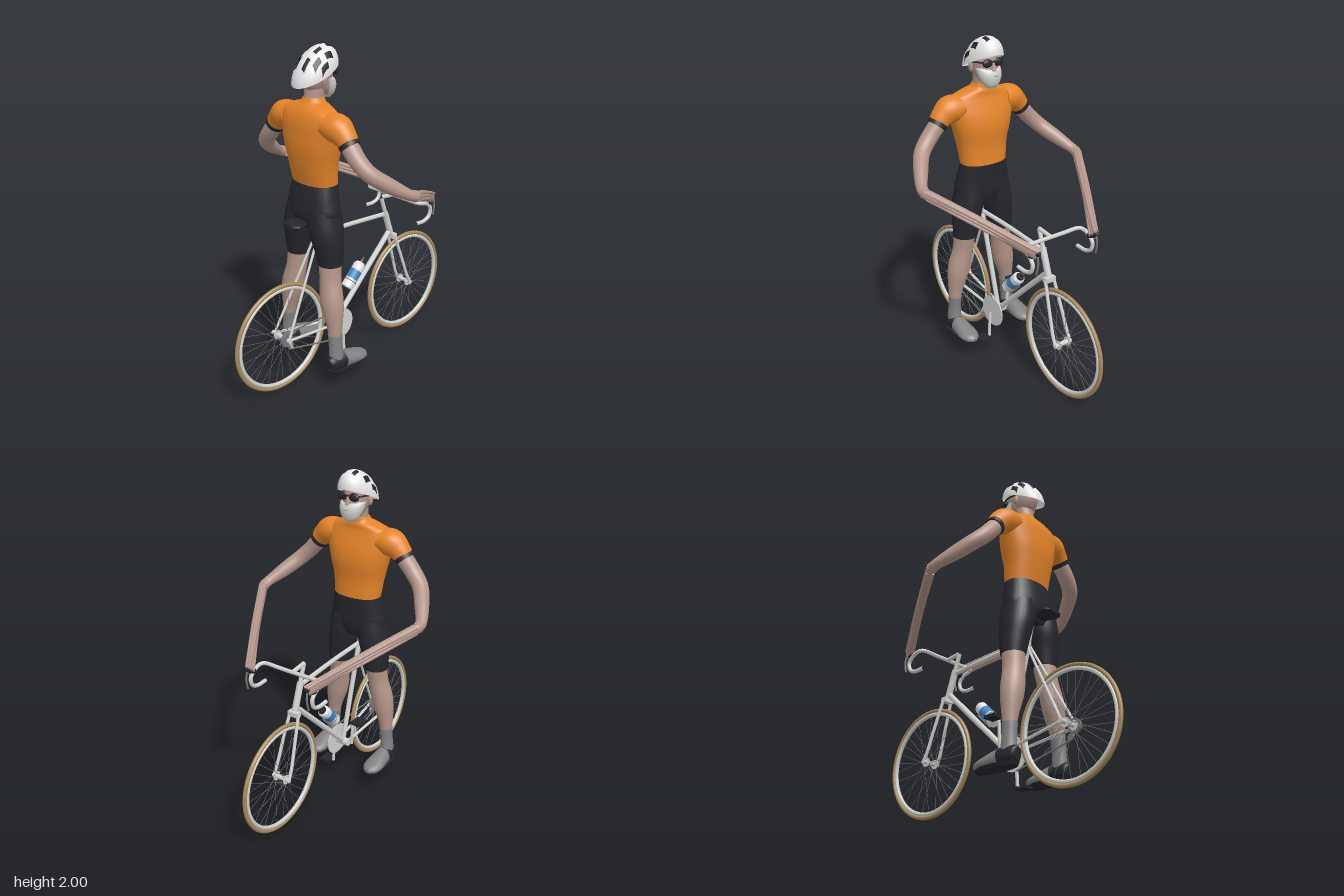
import * as THREE from 'three';

const mat = (name, color, side = THREE.FrontSide) => {
  const m = new THREE.MeshStandardMaterial({ color, side });
  m.name = name;
  return m;
};
const V = (x, y, z) => new THREE.Vector3(x, y, z);

export function createModel() {
  const model = new THREE.Group();
  model.name = 'cyclistWithBicycle';
  const orange = mat('orange jersey', 0xe58429), skin = mat('skin', 0xb4958a);
  const black = mat('black cloth', 0x26262d, THREE.DoubleSide), grey = mat('grey', 0x828081);
  const silver = mat('silver paint', 0xd2d2d0), white = mat('white shell', 0xe8e8e8, THREE.DoubleSide);
  const tan = mat('tan tyre', 0xa98b5c), blue = mat('blue label', 0x3f86c4), steel = mat('dark steel', 0x77777a);

  const add = (name, geo, m, x = 0, y = 0, z = 0, parent = model) => {
    const mesh = new THREE.Mesh(geo, m);
    mesh.name = name;
    mesh.position.set(x, y, z);
    parent.add(mesh);
    return mesh;
  };
  const ball = (name, m, x, y, z, rx, ry, rz) =>
    add(name, new THREE.SphereGeometry(1, 24, 16), m, x, y, z).scale.set(rx, ry, rz);
  const tube = (name, pts, r, m, parent = model, sides = 10) => {
    const c = new THREE.CatmullRomCurve3(pts.map(p => V(...p)));
    return add(name, new THREE.TubeGeometry(c, pts.length > 2 ? pts.length * 6 : 1, r, sides), m, 0, 0, 0, parent);
  };
  // Disc or drum whose axis runs across the bicycle
  const drum = (name, r, w, m, x, y, z, parent = model) =>
    add(name, new THREE.CylinderGeometry(r, r, w, 32).rotateX(Math.PI / 2), m, x, y, z, parent);

  // Smooth closed body through elliptical sections [x, y, z, ra, rb];
  // flat keeps the sections level, otherwise they stand square to the path
  const loft = (name, rows, m, flat = false, power = 1, n = 28) => {
    const path = new THREE.CatmullRomCurve3(rows.map(r => V(r[0], r[1], r[2])), false, 'catmullrom');
    const radii = new THREE.CatmullRomCurve3(rows.map(r => V(r[3], r[4], 0)), false, 'catmullrom');
    const steps = (rows.length - 1) * 5, pos = [], idx = [], rings = [[0, 0]];
    for (let i = 0; i <= steps; i++) rings.push([i / steps, 1]);
    rings.splice(1, 0, [0, 1]);
    rings.push([1, 1], [1, 0]);
    const bend = v => Math.sign(v) * Math.abs(v) ** power;
    rings.forEach(([t, k], i) => {
      const c = path.getPoint(t), r = radii.getPoint(t);
      const T = flat ? V(0, Math.sign(rows.at(-1)[1] - rows[0][1]), 0) : path.getTangent(t);
      const A = flat ? V(1, 0, 0) : V(0, 1, 0).addScaledVector(T, -T.y).normalize();
      const B = T.clone().cross(A);
      for (let j = 0; j < n; j++) {
        const a = j / n * Math.PI * 2;
        const p = c.clone().addScaledVector(A, bend(Math.cos(a)) * r.x * k).addScaledVector(B, bend(Math.sin(a)) * r.y * k);
        pos.push(p.x, p.y, p.z);
        if (i < rings.length - 1) {
          const p0 = i * n + j, p1 = i * n + (j + 1) % n;
          idx.push(p0, p1, p0 + n, p1, p1 + n, p0 + n);
        }
      }
    });
    const g = new THREE.BufferGeometry();
    g.setAttribute('position', new THREE.Float32BufferAttribute(pos, 3));
    g.setIndex(idx);
    g.computeVertexNormals();
    return add(name, g, m);
  };

  // Wheels
  const Y = 0.34, REAR = -0.53, FRONT = 0.525;
  for (const [name, x] of [['rearWheel', REAR], ['frontWheel', FRONT]]) {
    const w = new THREE.Group();
    w.name = name;
    w.position.set(x, Y, 0);
    model.add(w);
    add('tyre', new THREE.TorusGeometry(0.325, 0.0125, 10, 72), tan, 0, 0, 0, w);
    add('rim', new THREE.TorusGeometry(0.304, 0.012, 8, 72), silver, 0, 0, 0, w);
    drum('hub', 0.014, 0.12, silver, 0, 0, 0, w);
    for (const s of [1, -1]) drum('hubFlange', 0.028, 0.005, silver, 0, 0, 0.035 * s, w);
    for (let i = 0; i < 32; i++) {
      const a = i / 32 * Math.PI * 2, b = a + (i % 4 < 2 ? 0.5 : -0.5), z = i % 2 ? 0.035 : -0.035;
      tube('spoke', [[0.025 * Math.cos(b), 0.025 * Math.sin(b), z], [0.3 * Math.cos(a), 0.3 * Math.sin(a), 0]], 0.0015, steel, w, 4);
    }
  }

  // Frame
  const BB = [-0.1, 0.275, 0];
  tube('seatTube', [BB, [-0.265, 0.89, 0]], 0.015, silver);
  tube('seatPost', [[-0.265, 0.89, 0], [-0.295, 1.01, 0]], 0.012, silver);
  tube('topTube', [[-0.262, 0.9, 0], [0, 0.89, 0], [0.335, 0.865, 0]], 0.014, silver);
  tube('downTube', [BB, [0.375, 0.74, 0]], 0.017, silver);
  tube('headTube', [[0.328, 0.885, 0], [0.385, 0.72, 0]], 0.02, silver);
  tube('steerer', [[0.295, 0.985, 0], [0.335, 0.87, 0]], 0.013, silver);
  tube('stem', [[0.293, 0.988, 0], [0.4, 0.975, 0]], 0.013, silver);
  drum('bottomBracket', 0.024, 0.09, silver, ...BB);
  add('forkCrown', new THREE.BoxGeometry(0.035, 0.03, 0.07), silver, 0.392, 0.705, 0);
  for (const s of [1, -1]) {
    tube('forkBlade', [[0.392, 0.71, 0.03 * s], [0.46, 0.51, 0.045 * s], [0.497, 0.4, 0.052 * s], [FRONT, Y, 0.055 * s]], 0.01, silver);
    tube('seatStay', [[-0.26, 0.87, 0.015 * s], [REAR, Y, 0.065 * s]], 0.008, silver);
    tube('chainStay', [[-0.1, 0.275, 0.03 * s], [REAR, Y, 0.065 * s]], 0.009, silver);
    drum('axleNut', 0.014, 0.02, silver, REAR, Y, 0.07 * s);
    // Cranks and pedals
    const end = 0.275 - 0.175 * s;
    tube('crank', [[-0.1, 0.275, 0.065 * s], [-0.1, end, 0.075 * s]], 0.01, silver);
    tube('pedalAxle', [[-0.1, end, 0.07 * s], [-0.1, end, 0.14 * s]], 0.006, steel);
    add('pedal', new THREE.BoxGeometry(0.08, 0.018, 0.07), black, -0.1, end, 0.118 * s);
    // Drop handlebar, brake hood and lever
    tube('handlebar', [[0.4, 0.975, 0], [0.4, 0.975, 0.1 * s], [0.402, 0.975, 0.2 * s], [0.42, 0.972, 0.217 * s],
      [0.475, 0.955, 0.217 * s], [0.508, 0.915, 0.217 * s], [0.495, 0.868, 0.217 * s], [0.45, 0.848, 0.217 * s], [0.38, 0.85, 0.217 * s]], 0.012, silver);
    loft('brakeHood', [[0.48, 0.955, 0.215 * s, 0.016, 0.015], [0.52, 0.975, 0.21 * s, 0.018, 0.016], [0.548, 1, 0.207 * s, 0.014, 0.012]], black);
    tube('brakeLever', [[0.54, 0.985, 0.21 * s], [0.55, 0.93, 0.213 * s], [0.538, 0.865, 0.215 * s]], 0.006, steel);
  }
  loft('saddle', [[-0.462, 1.02, 0, 0.01, 0.045], [-0.43, 1.02, 0, 0.02, 0.072], [-0.36, 1.018, 0, 0.018, 0.05], [-0.28, 1.015, 0, 0.014, 0.025], [-0.19, 1.01, 0, 0.01, 0.015]], black);

  // Drivetrain
  drum('chainring', 0.1, 0.007, silver, -0.1, 0.275, 0.045);
  drum('sprockets', 0.042, 0.02, steel, REAR, Y, 0.046);
  drum('derailleurPulley', 0.02, 0.006, steel, -0.5, 0.285, 0.045);
  tube('derailleurArm', [[REAR, Y, 0.062], [-0.5, 0.28, 0.055]], 0.007, silver);
  tube('upperChain', [[REAR, 0.381, 0.045], [-0.1, 0.376, 0.045]], 0.005, steel, model, 6);
  tube('lowerChain', [[-0.5, 0.268, 0.045], [-0.12, 0.177, 0.045]], 0.005, steel, model, 6);

  // Bottle and cage, tilted along the down tube
  const bottle = new THREE.Group();
  bottle.name = 'bottle';
  bottle.position.set(0.07, 0.55, 0);
  bottle.rotation.z = -Math.PI / 4;
  model.add(bottle);
  const can = (name, r1, r2, y0, y1, m) =>
    add(name, new THREE.CylinderGeometry(r2, r1, y1 - y0, 28), m, 0, (y0 + y1) / 2, 0, bottle);
  can('bottleBase', 0.037, 0.037, -0.105, -0.045, white);
  can('bottleBand', 0.0375, 0.0375, -0.045, 0.015, blue);
  can('bottleTop', 0.037, 0.037, 0.015, 0.055, white);
  can('bottleShoulder', 0.037, 0.025, 0.055, 0.072, white);
  can('bottleCap', 0.025, 0.021, 0.072, 0.09, black);
  can('bottleSpout', 0.012, 0.01, 0.09, 0.11, black);
  add('cageRing', new THREE.TorusGeometry(0.039, 0.003, 6, 28).rotateX(Math.PI / 2), steel, 0, -0.06, 0, bottle);
  tube('cageSpine', [[0.045, -0.1, 0], [0.045, 0.04, 0]], 0.006, steel, bottle);

  // Torso and hips
  loft('jersey', [[-0.25, 1.235, 0, 0.096, 0.148], [-0.263, 1.35, 0, 0.106, 0.162], [-0.265, 1.45, 0, 0.118, 0.186],
    [-0.268, 1.53, 0, 0.114, 0.205], [-0.275, 1.6, 0, 0.1, 0.218], [-0.275, 1.65, 0, 0.085, 0.2],
    [-0.265, 1.682, 0, 0.074, 0.13], [-0.258, 1.7, 0, 0.064, 0.075], [-0.25, 1.725, 0, 0.056, 0.056]], orange, true, 0.88, 40);
  loft('shortsHips', [[-0.25, 1.242, 0, 0.098, 0.15], [-0.262, 1.15, 0, 0.105, 0.17], [-0.268, 1.06, 0, 0.105, 0.18], [-0.268, 0.985, 0, 0.08, 0.1]], black, true, 0.9);

  for (const s of [1, -1]) {
    const M = rows => rows.map(([x, y, z, a, b]) => [x, y, z * s, a, b]);
    // Legs
    loft('shortsLeg', M([[-0.265, 1.1, 0.09, 0.1, 0.085], [-0.268, 0.97, 0.108, 0.104, 0.094], [-0.265, 0.86, 0.125, 0.087, 0.083], [-0.262, 0.77, 0.133, 0.073, 0.072]]), black, true);
    loft('leg', M([[-0.263, 0.79, 0.133, 0.068, 0.066], [-0.275, 0.68, 0.145, 0.063, 0.063], [-0.286, 0.58, 0.165, 0.066, 0.07],
      [-0.289, 0.5, 0.178, 0.062, 0.066], [-0.292, 0.4, 0.195, 0.047, 0.046], [-0.293, 0.34, 0.202, 0.041, 0.037]]), skin, true);
    loft('sock', M([[-0.293, 0.35, 0.2, 0.045, 0.041], [-0.294, 0.27, 0.206, 0.043, 0.038], [-0.292, 0.18, 0.212, 0.05, 0.042]]), grey, true);
    loft('shoeHeel', M([[-0.357, 0.165, 0.213, 0.03, 0.025], [-0.335, 0.168, 0.213, 0.05, 0.042], [-0.245, 0.168, 0.213, 0.053, 0.05]]), black);
    loft('shoeFront', M([[-0.26, 0.17, 0.213, 0.053, 0.048], [-0.2, 0.16, 0.213, 0.047, 0.055], [-0.13, 0.148, 0.213, 0.035, 0.06],
      [-0.085, 0.142, 0.213, 0.027, 0.045], [-0.06, 0.14, 0.213, 0.012, 0.018]]), grey);
    loft('sole', M([[-0.208, 0.11, 0.213, 0.14, 0.05], [-0.208, 0.13, 0.213, 0.149, 0.057]]), black, true, 0.85);
    // Arms
    loft('sleeve', M([[-0.275, 1.6, 0.15, 0.07, 0.085], [-0.275, 1.588, 0.215, 0.081, 0.083], [-0.275, 1.555, 0.265, 0.067, 0.066], [-0.275, 1.518, 0.3, 0.055, 0.057]]), orange);
    loft('sleeveCuff', M([[-0.275, 1.528, 0.29, 0.058, 0.06], [-0.274, 1.508, 0.307, 0.057, 0.059]]), black);
    loft('arm', M([[-0.275, 1.53, 0.285, 0.05, 0.052], [-0.272, 1.44, 0.365, 0.048, 0.05], [-0.243, 1.375, 0.43, 0.046, 0.047],
      [-0.16, 1.31, 0.49, 0.043, 0.042], [-0.07, 1.253, 0.542, 0.031, 0.033], [-0.02, 1.232, 0.548, 0.033, 0.032]]), skin);
    // Long reaching hand with finger ridges
    loft('hand', M([[-0.045, 1.24, 0.553, 0.026, 0.025], [0, 1.225, 0.54, 0.031, 0.023], [0.27, 1.107, 0.372, 0.032, 0.018], [0.535, 0.98, 0.205, 0.032, 0.016]]), skin);
    for (let i = 0; i < 3; i++)
      for (const e of [1, -1])
        loft('finger', M([[-0.01 + 0.008 * e, 1.246 - 0.018 * i, 0.543 + 0.012 * e, 0.01, 0.01],
          [0.27 + 0.008 * e, 1.128 - 0.019 * i, 0.372 + 0.012 * e, 0.01, 0.009],
          [0.545 - 0.018 * i, 1.003 - 0.016 * i, 0.203 + 0.01 * e, 0.009, 0.008]]), skin, false, 1, 10);
    // Face sides
    ball('ear', skin, -0.247, 1.825, 0.08 * s, 0.018, 0.03, 0.011);
    ball('lens', black, -0.141, 1.857, 0.037 * s, 0.016, 0.024, 0.034);
    tube('glassesArm', [[-0.145, 1.863, 0.066 * s], [-0.19, 1.862, 0.081 * s], [-0.25, 1.855, 0.084 * s]], 0.005, black);
  }

  // Head
  loft('neck', [[-0.262, 1.66, 0, 0.06, 0.058], [-0.25, 1.73, 0, 0.056, 0.055], [-0.24, 1.8, 0, 0.06, 0.058]], skin, true);
  ball('head', skin, -0.235, 1.855, 0, 0.102, 0.115, 0.08);
  loft('jaw', [[-0.185, 1.73, 0, 0.04, 0.04], [-0.205, 1.78, 0, 0.072, 0.068], [-0.225, 1.85, 0, 0.09, 0.078]], skin, true);
  loft('beard', [[-0.155, 1.708, 0, 0.018, 0.024], [-0.162, 1.735, 0, 0.042, 0.052], [-0.173, 1.775, 0, 0.06, 0.071], [-0.186, 1.81, 0, 0.062, 0.077], [-0.2, 1.826, 0, 0.055, 0.078]], silver, true);
  loft('nose', [[-0.138, 1.81, 0, 0.022, 0.016], [-0.14, 1.83, 0, 0.018, 0.013], [-0.148, 1.87, 0, 0.014, 0.01]], skin, true);
  ball('mouth', skin, -0.12, 1.783, 0, 0.008, 0.004, 0.022);
  tube('glassesBridge', [[-0.13, 1.865, -0.03], [-0.13, 1.865, 0.03]], 0.005, black);

  // Helmet: a dome over a sloping brim line
  const dome = (u, v, k = 1) => {
    const c = Math.sqrt(Math.max(0, 1 - (u / 0.145) ** 2 - (v / 0.105) ** 2));
    return [-0.24 + u * k, 1.848 + 0.404 * u + 0.14 * c * k + (k - 1) * 0.1, v * k];
  };
  const shell = new THREE.SphereGeometry(1, 48, 20, 0, Math.PI * 2, 0, Math.PI / 2);
  const warp = (g, f) => {
    const p = g.attributes.position;
    for (let i = 0; i < p.count; i++) p.setXYZ(i, ...f(p.getX(i), p.getY(i), p.getZ(i)));
    g.computeVertexNormals();
    return g;
  };
  add('helmet', warp(shell, (x, y, z) => dome(x * 0.145, z * 0.105)), white);
  for (const s of [1, -1])
    for (const [u, v] of [[-0.09, 0.03], [-0.01, 0.034], [0.075, 0.03], [-0.05, 0.072], [0.03, 0.075], [-0.015, 0.096]]) {
      const g = new THREE.PlaneGeometry(0.046, v > 0.09 ? 0.01 : 0.021, 8, 4);
      add('helmetVent', warp(g.rotateX(-Math.PI / 2), (x, y, z) => dome(u + x, s * v + z, 1.018)), black);
    }
  return model;
}
